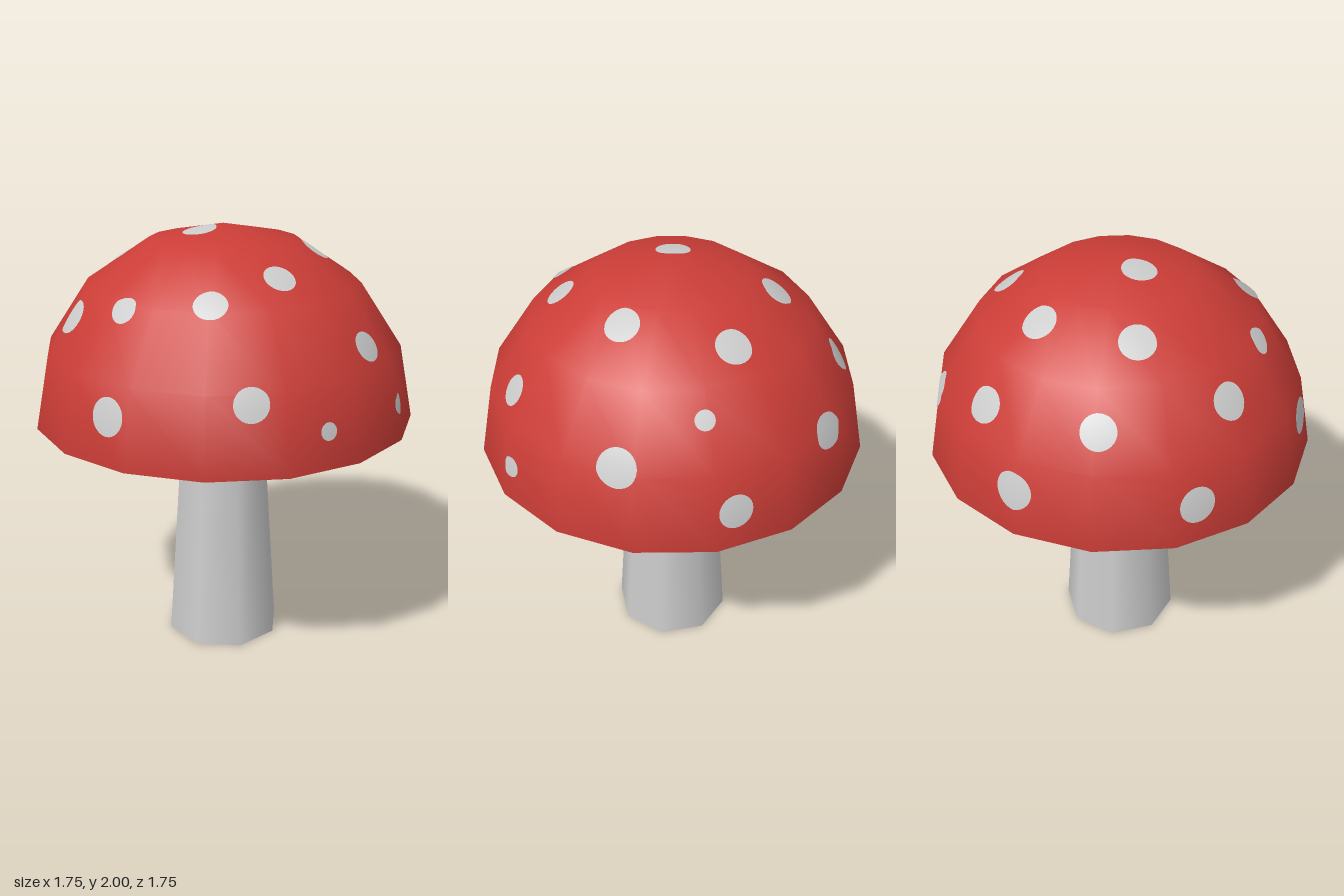
import * as THREE from 'three';

const CAP_R = 0.875, CAP_Y = 1.125, SIDES = 16, RINGS = 4;

const capRed = new THREE.MeshStandardMaterial({ color: 0xcc3d37 });
capRed.name = 'cap red';
const paleGrey = new THREE.MeshStandardMaterial({ color: 0xcccccc });
paleGrey.name = 'pale grey';

// Spots on the cap: x, y, z of the centre and radius
const SPOTS = [
  [-0.27, 1.45, -0.76, 0.08], [0.24, 1.29, -0.81, 0.075], [0.28, 1.66, -0.64, 0.042],
  [0.04, 1.83, -0.49, 0.077], [-0.55, 1.58, -0.48, 0.077], [-0.765, 1.32, -0.335, 0.085],
  [-0.345, 1.86, -0.28, 0.077], [0.365, 1.885, -0.18, 0.075], [0.62, 1.485, -0.51, 0.085],
  [-0.72, 1.61, 0.01, 0.075], [-0.44, 1.86, 0.13, 0.077], [-0.07, 1.98, 0.093, 0.076],
  [0.74, 1.56, 0.105, 0.068], [0.405, 1.855, 0.268, 0.07], [0.845, 1.28, -0.026, 0.046],
  [-0.74, 1.295, 0.42, 0.08], [-0.487, 1.648, 0.523, 0.079], [-0.144, 1.727, 0.615, 0.06],
  [0.224, 1.775, 0.545, 0.072], [0.474, 1.426, 0.67, 0.073], [0.725, 1.285, 0.45, 0.038],
  [-0.105, 1.33, 0.82, 0.082],
];

// Planes of the cap's facets, relative to the centre of the dome
function facetPlanes() {
  const point = (ring, side) => new THREE.Vector3().setFromSphericalCoords(
    CAP_R, (ring / RINGS) * Math.PI / 2, (side / SIDES) * Math.PI * 2);
  const planes = [];
  for (let ring = 0; ring < RINGS; ring++) {
    for (let side = 0; side < SIDES; side++) {
      planes.push(new THREE.Plane().setFromCoplanarPoints(
        point(ring, side), point(ring + 1, side), point(ring + 1, side + 1)));
    }
  }
  return planes;
}

// Distance from the dome centre to the faceted surface along a direction
function surfaceDistance(planes, dir) {
  let nearest = Infinity;
  for (const plane of planes) {
    const facing = plane.normal.dot(dir);
    if (facing > 1e-4) nearest = Math.min(nearest, -plane.constant / facing);
  }
  return nearest;
}

// A thin disc wrapped onto the facets of the cap
function makeSpot([x, y, z, radius], planes) {
  const centre = new THREE.Vector3(x, y - CAP_Y, z).normalize();
  const distance = surfaceDistance(planes, centre);
  const turn = new THREE.Quaternion().setFromUnitVectors(new THREE.Vector3(0, 0, 1), centre);
  const geometry = new THREE.RingGeometry(0, radius, 28, 6);
  const position = geometry.attributes.position;
  const dir = new THREE.Vector3();
  for (let i = 0; i < position.count; i++) {
    dir.fromBufferAttribute(position, i);
    dir.z = distance;
    dir.applyQuaternion(turn).normalize();
    geometry.attributes.normal.setXYZ(i, dir.x, dir.y, dir.z);
    dir.multiplyScalar(surfaceDistance(planes, dir) + 0.004);
    position.setXYZ(i, dir.x, dir.y, dir.z);
  }
  const spot = new THREE.Mesh(geometry, paleGrey);
  spot.name = 'spot';
  return spot;
}

export function createModel() {
  const model = new THREE.Group();
  model.name = 'mushroom';

  // Tapered eight-sided stem, ending just below the cap
  const stem = new THREE.Mesh(new THREE.CylinderGeometry(0.2, 0.275, 1.11, 8), paleGrey);
  stem.name = 'stem';
  stem.position.y = 0.555;
  model.add(stem);

  // Domed cap with a flat underside
  const cap = new THREE.Group();
  cap.name = 'cap';
  cap.position.y = CAP_Y;
  const dome = new THREE.Mesh(
    new THREE.SphereGeometry(CAP_R, SIDES, RINGS, 0, Math.PI * 2, 0, Math.PI / 2), capRed);
  dome.name = 'dome';
  const underside = new THREE.Mesh(new THREE.CircleGeometry(CAP_R, SIDES), capRed);
  underside.name = 'underside';
  underside.rotation.x = Math.PI / 2;
  cap.add(dome, underside);

  // Scattered spots
  const spots = new THREE.Group();
  spots.name = 'spots';
  const planes = facetPlanes();
  for (const spot of SPOTS) spots.add(makeSpot(spot, planes));
  cap.add(spots);
  model.add(cap);

  return model;
}
